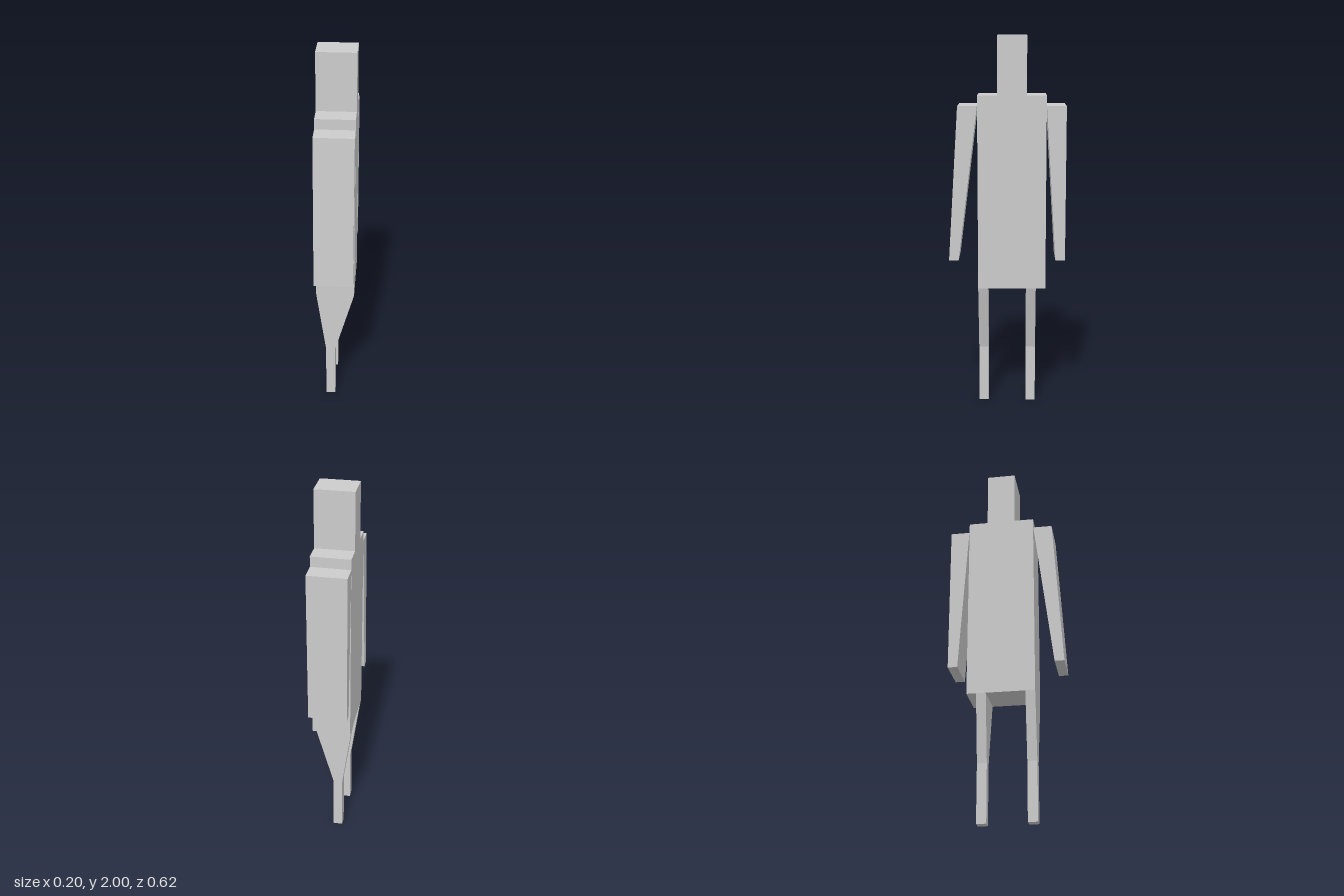
import * as THREE from 'three';

const material = new THREE.MeshStandardMaterial({ color: 0xcccccc, flatShading: true });
const HALF_WIDTH = 0.1025;

// Prism from a flat outline, extruded along z
function prism(points, depth) {
  const shape = new THREE.Shape(points.map(([u, v]) => new THREE.Vector2(u, v)));
  return new THREE.ExtrudeGeometry(shape, { depth, bevelEnabled: false });
}

// Full-width slab from a (z, y) outline
function slab(points) {
  return prism(points, 2 * HALF_WIDTH).rotateY(-Math.PI / 2).translate(HALF_WIDTH, 0, 0);
}

export function createModel() {
  const model = new THREE.Group();
  model.name = 'figure';
  const add = (name, geometry) => {
    const mesh = new THREE.Mesh(geometry, material);
    mesh.name = name;
    model.add(mesh);
  };

  // Head and torso share one stepped outline
  add('headAndTorso', slab([
    [-0.205, 0.67], [0.154, 0.67], [0.154, 1.695], [0.051, 1.695],
    [0.051, 2], [-0.103, 2], [-0.103, 1.695], [-0.205, 1.695],
  ]));

  // Arms taper downwards and lean away from the torso
  add('frontArm', slab([[0.257, 0.825], [0.308, 0.825], [0.257, 1.641], [0.155, 1.641]]));
  add('backArm', slab([[-0.308, 0.825], [-0.257, 0.825], [-0.206, 1.641], [-0.308, 1.641]]));

  // Legs: wide thigh narrowing to an off-centre straight shin
  const legOutline = [
    [-0.051, 0], [0, 0], [0, 0.31], [HALF_WIDTH, 0.67], [-HALF_WIDTH, 0.67], [-0.051, 0.31],
  ];
  for (const [name, z] of [['frontLeg', 0.103], ['backLeg', -0.154]]) {
    add(name, prism(legOutline, 0.051).translate(0, 0, z));
  }
  return model;
}
